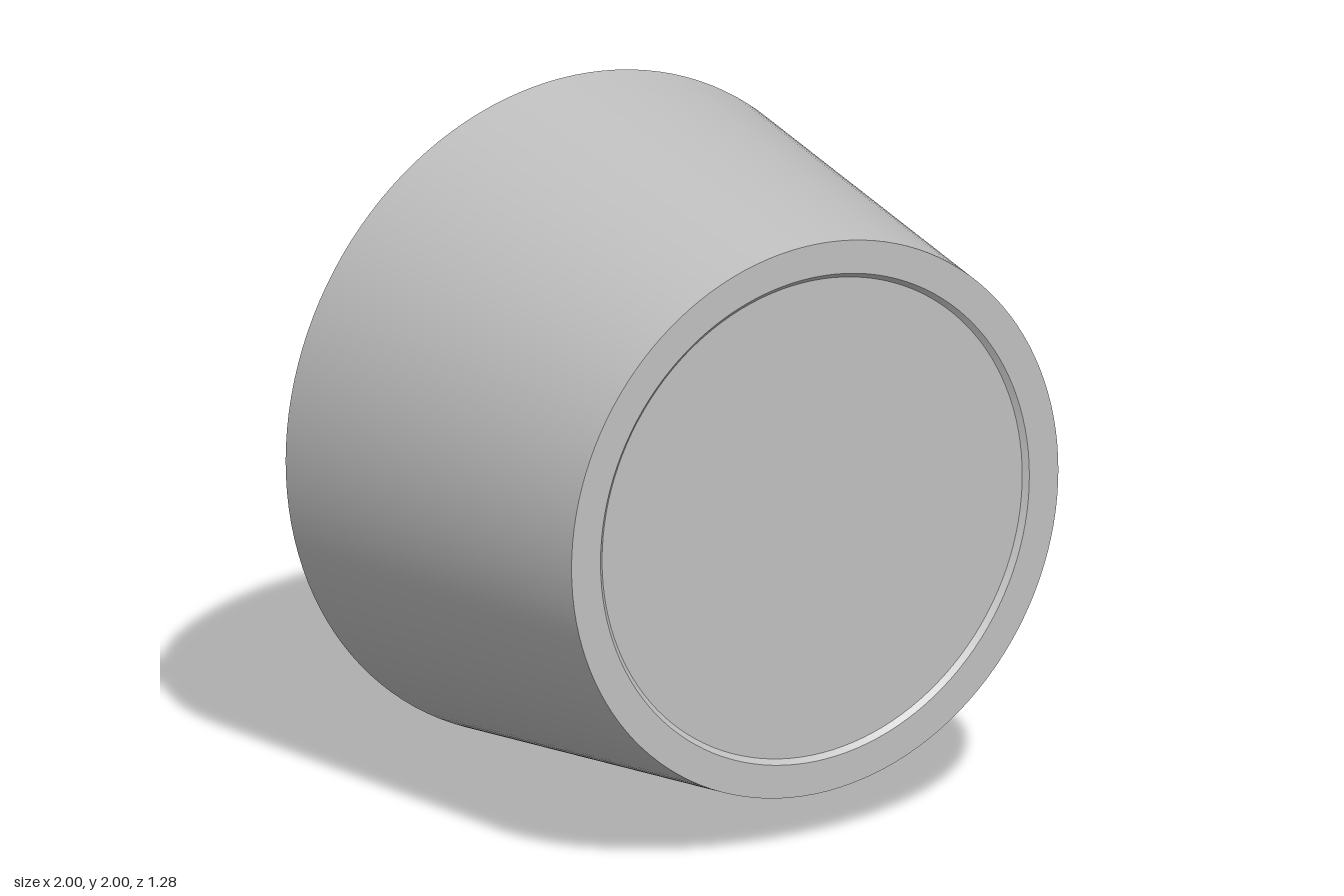
import * as THREE from 'three';

const grey = new THREE.MeshStandardMaterial({ color: 0xc0c0c0 });
grey.name = 'grey';

// Profile as [radius, position along the axis], running round the section
// from the wide open back end to the narrow closed front and back inside.
const profile = [
  ['outerWall', [1, -0.64], [0.84, 0.64]],
  ['frontRim', [0.84, 0.64], [0.74, 0.64]],
  ['frontRecessBevel', [0.74, 0.64], [0.725, 0.625]],
  ['frontPanel', [0.725, 0.625], [0, 0.625]],
  ['innerFloor', [0, 0.465], [0.732, 0.465]],
  ['innerWall', [0.732, 0.465], [0.865, -0.597]],
  ['mouthBevel', [0.865, -0.597], [0.9, -0.64]],
  ['backRim', [0.9, -0.64], [1, -0.64]],
];

export function createModel() {
  const cup = new THREE.Group();
  cup.name = 'taperedCup';
  // Each section is its own lathe, so edges stay sharp between smooth faces
  for (const [name, a, b] of profile) {
    const points = [new THREE.Vector2(...a), new THREE.Vector2(...b)];
    const mesh = new THREE.Mesh(new THREE.LatheGeometry(points, 128), grey);
    mesh.name = name;
    cup.add(mesh);
  }
  // Lay the axis along z, closed end to the front, resting on the ground
  cup.rotation.x = Math.PI / 2;
  cup.position.y = 1;

  const model = new THREE.Group();
  model.name = 'cap';
  model.add(cup);
  return model;
}
